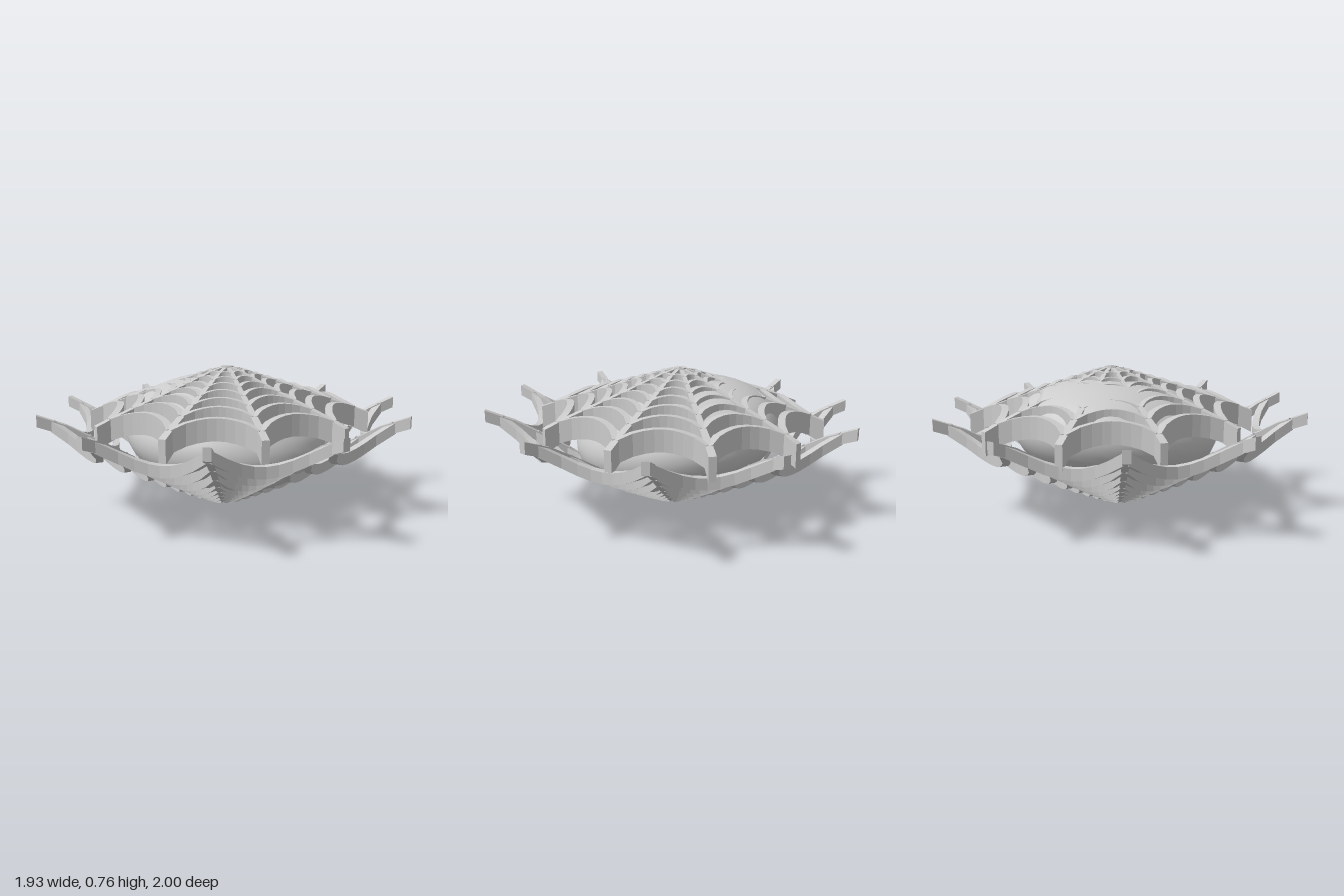
import * as THREE from 'three';

const material = new THREE.MeshStandardMaterial({ color: 0xcccccc, flatShading: true });
const bodyMaterial = new THREE.MeshStandardMaterial({ color: 0xcccccc });
const SPOKES = 10, STEP = Math.PI * 2 / SPOKES;

// Linear interpolation through [radius, height] pairs
function heightAt(profile, r) {
  for (let i = 1; i < profile.length; i++) {
    const [r0, y0] = profile[i - 1], [r1, y1] = profile[i];
    if (r <= r1) return y0 + (y1 - y0) * (r - r0) / (r1 - r0);
  }
  return profile[profile.length - 1][1];
}

// Rectangular strand: each station is { p, width, low, high }
function strandGeometry(stations) {
  const sections = stations.map(({ p, width, low, high }, i) => {
    const before = stations[Math.max(i - 1, 0)].p;
    const after = stations[Math.min(i + 1, stations.length - 1)].p;
    const d = after.clone().sub(before).setY(0).normalize();
    const side = new THREE.Vector3(d.z, 0, -d.x).multiplyScalar(width / 2);
    const corner = (s, h) => p.clone().addScaledVector(side, s).add(new THREE.Vector3(0, h, 0));
    return [corner(1, low), corner(1, high), corner(-1, high), corner(-1, low)];
  });
  const positions = [];
  const quad = (a, b, c, d) => [a, b, c, a, c, d].forEach(v => positions.push(v.x, v.y, v.z));
  for (let i = 0; i < sections.length - 1; i++) {
    const a = sections[i], b = sections[i + 1];
    for (let j = 0; j < 4; j++) {
      const k = (j + 1) % 4;
      quad(a[j], a[k], b[k], b[j]);
    }
  }
  const first = sections[0], last = sections[sections.length - 1];
  quad(first[3], first[2], first[1], first[0]);
  quad(last[0], last[1], last[2], last[3]);
  const geometry = new THREE.BufferGeometry();
  geometry.setAttribute('position', new THREE.Float32BufferAttribute(positions, 3));
  geometry.computeVertexNormals();
  return geometry;
}

function addMesh(parent, name, geometry, mat = material) {
  const mesh = new THREE.Mesh(geometry, mat);
  mesh.name = name;
  parent.add(mesh);
  return mesh;
}

// Web of radial spokes joined by scalloped rings
function createWeb(name, o) {
  const web = new THREE.Group();
  web.name = name;
  const station = (r, angle, depth, width, lift = 0) => {
    const z = r * Math.sin(angle);
    return {
      p: new THREE.Vector3(r * Math.cos(angle), heightAt(o.profile, r) + lift + 0.02 * z, z),
      width,
      low: o.hangs ? -depth : 0,
      high: o.hangs ? 0 : depth,
    };
  };
  const depthAt = r => o.depth[0] + (o.depth[1] - o.depth[0]) * r / o.radius;
  const widthAt = r => 0.02 + 0.018 * r / o.radius;

  for (let k = 0; k < SPOKES; k++) {
    const angle = o.start + k * STEP;
    const spoke = o.profile.map(([r]) => station(r, angle, depthAt(r), widthAt(r)));
    addMesh(web, 'spoke', strandGeometry(spoke));

    for (const ring of o.rings) {
      const stations = [];
      for (let i = 0; i <= 8; i++) {
        const t = i / 8;
        const dip = Math.pow(Math.max(Math.sin(Math.PI * t), 0), 0.65);
        const r = ring * (1 - o.scallop * dip);
        stations.push(station(r, angle + t * STEP, depthAt(ring), widthAt(ring), o.sag * dip * ring));
      }
      addMesh(web, 'ringStrand', strandGeometry(stations));
    }
  }

  // Small hub where the spokes meet
  const hub = addMesh(web, 'hub', new THREE.CylinderGeometry(0.035, 0.035, 0.03, SPOKES));
  hub.position.y = o.profile[0][1] + (o.hangs ? -0.018 : 0.018);
  return web;
}

export function createModel() {
  const model = new THREE.Group();
  model.name = 'webShell';

  // Wide lower web, shaped like a bowl
  model.add(createWeb('lowerWeb', {
    profile: [[0, 0], [0.1, 0.02], [0.3, 0.125], [0.5, 0.235], [0.7, 0.35], [0.85, 0.43], [1, 0.485]],
    rings: [0.92, 0.74, 0.58, 0.45, 0.35, 0.26, 0.18, 0.11],
    radius: 1, start: THREE.MathUtils.degToRad(16.5),
    scallop: 0.17, sag: -0.05, depth: [0.035, 0.06], hangs: false,
  }));

  // Smaller upper web, shaped like a dome with a deep rim
  const upperWeb = createWeb('upperWeb', {
    profile: [[0, 0.76], [0.1, 0.735], [0.2, 0.7], [0.36, 0.645], [0.56, 0.58], [0.68, 0.54], [0.77, 0.505]],
    rings: [0.69, 0.56, 0.45, 0.35, 0.26, 0.18, 0.11],
    radius: 0.77, start: THREE.MathUtils.degToRad(-0.5),
    scallop: 0.15, sag: 0.015, depth: [0.04, 0.12], hangs: true,
  });
  upperWeb.position.set(0.035, 0, -0.03);
  model.add(upperWeb);

  // Flattened, slightly tilted body held between the webs
  const body = addMesh(model, 'body', new THREE.SphereGeometry(1, 48, 28), bodyMaterial);
  body.scale.set(0.55, 0.29, 0.555);
  body.position.set(0.02, 0.405, -0.02);
  body.rotation.x = 0.13;
  return model;
}
